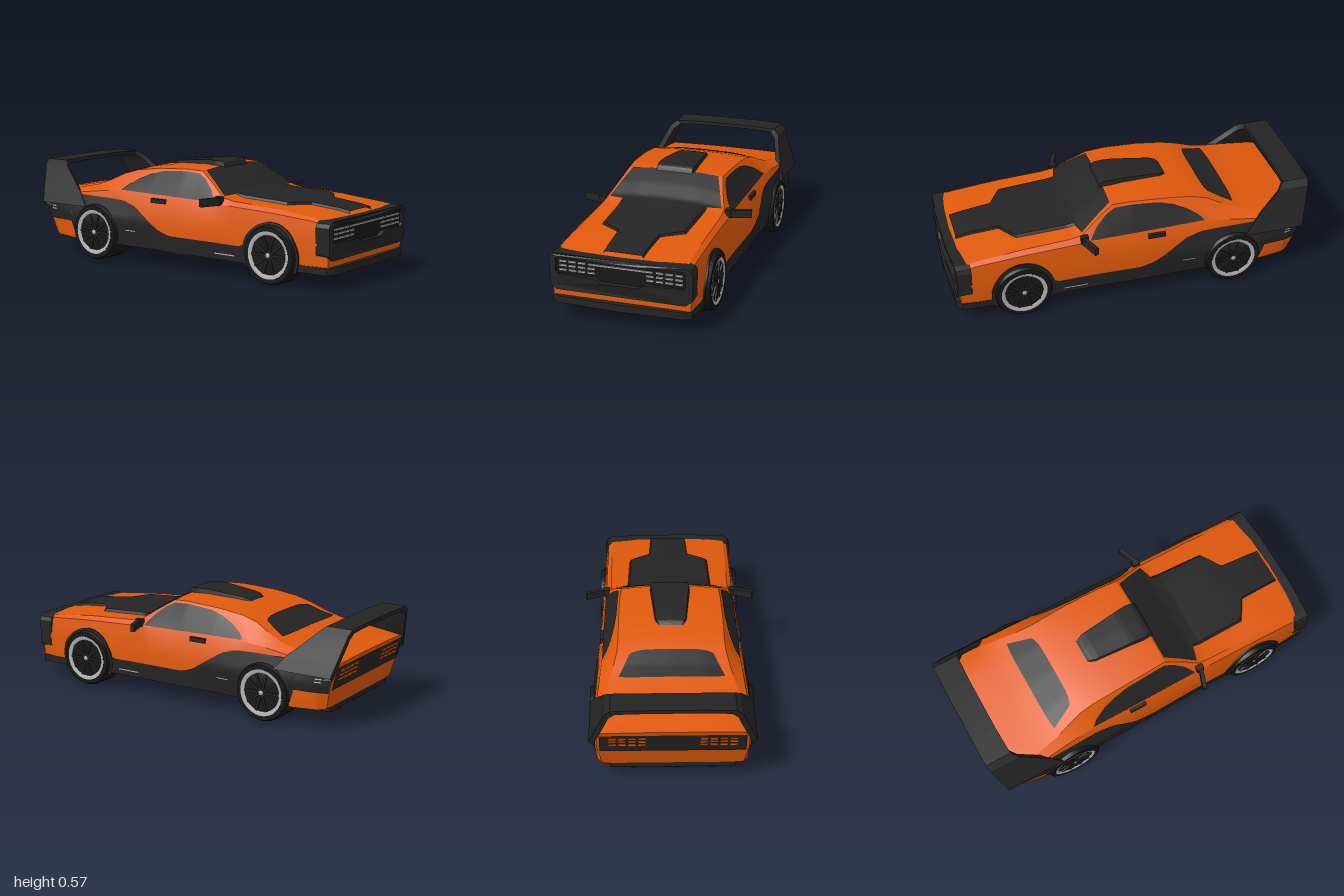
import * as THREE from 'three';
import { toCreasedNormals } from 'three/addons/utils/BufferGeometryUtils.js';

const material = (name, color) => new THREE.MeshStandardMaterial({ name, color, side: THREE.DoubleSide });
const orange = material('orangePaint', 0xe0590c);
const black = material('blackTrim', 0x242424);
const rubber = material('rubber', 0x171717);
const silver = material('silver', 0xb4b2b4);

// Body stations: x, sillY, sillZ, waistZ, shoulderY, shoulderZ, roofEdgeY, roofEdgeZ, centreY
const STATIONS = [
  [-0.95, 0.11, 0.36, 0.385, 0.335, 0.385, 0.35, 0.355, 0.355],
  [-0.85, 0.105, 0.385, 0.405, 0.345, 0.395, 0.365, 0.355, 0.372],
  [-0.72, 0.10, 0.40, 0.415, 0.36, 0.39, 0.385, 0.345, 0.397],
  [-0.60, 0.10, 0.40, 0.42, 0.375, 0.38, 0.41, 0.325, 0.422],
  [-0.52, 0.10, 0.40, 0.418, 0.385, 0.375, 0.44, 0.305, 0.452],
  [-0.43, 0.10, 0.395, 0.413, 0.39, 0.37, 0.482, 0.285, 0.494],
  [-0.34, 0.10, 0.39, 0.408, 0.39, 0.367, 0.507, 0.28, 0.518],
  [-0.20, 0.095, 0.385, 0.402, 0.388, 0.365, 0.525, 0.28, 0.54],
  [0.00, 0.09, 0.385, 0.395, 0.385, 0.362, 0.536, 0.275, 0.55],
  [0.10, 0.09, 0.38, 0.392, 0.384, 0.36, 0.532, 0.268, 0.546],
  [0.20, 0.09, 0.378, 0.388, 0.382, 0.36, 0.47, 0.30, 0.49],
  [0.28, 0.09, 0.375, 0.387, 0.38, 0.36, 0.412, 0.33, 0.437],
  [0.35, 0.09, 0.375, 0.385, 0.377, 0.36, 0.40, 0.333, 0.413],
  [0.60, 0.09, 0.375, 0.385, 0.367, 0.36, 0.388, 0.335, 0.398],
  [0.85, 0.09, 0.37, 0.38, 0.35, 0.36, 0.365, 0.335, 0.374],
  [0.955, 0.10, 0.36, 0.372, 0.335, 0.36, 0.35, 0.34, 0.355],
];

// Linear lookup in rows sorted by their first value
function at(rows, x, col = 1) {
  if (x <= rows[0][0]) return rows[0][col];
  for (let i = 1; i < rows.length; i++) {
    const a = rows[i - 1], b = rows[i];
    if (x <= b[0]) return a[col] + (b[col] - a[col]) * (x - a[0]) / (b[0] - a[0]);
  }
  return rows[rows.length - 1][col];
}

// Half cross-section as [z, y], from sill to centre line
function ring(x) {
  const [sy, sz, wz, hy, hz, ey, ez, cy] = [1, 2, 3, 4, 5, 6, 7, 8].map(c => at(STATIONS, x, c));
  return [[sz, sy], [wz, 0.24], [hz, hy], [ez, ey], [ez * 0.55, ey + (cy - ey) * 0.75], [0, cy]];
}
const sideZ = (x, y) => at(ring(x).slice(0, 4).map(([z, h]) => [h, z]), y);
const topY = (x, z) => at(ring(x).reverse(), Math.abs(z));
// The tail leans forward towards the bottom
const lean = (x, y) => x + Math.min(1, Math.max(0, (-0.85 - x) / 0.1)) * (0.35 - y) * 0.25;

// Grid surface of n by m quads from f(i, j) -> [x, y, z]
function grid(n, m, f, crease = 0.45) {
  const pos = [], index = [];
  for (let i = 0; i <= n; i++) for (let j = 0; j <= m; j++) {
    pos.push(...f(i, j));
    if (i < n && j < m) {
      const a = i * (m + 1) + j, b = a + m + 1;
      index.push(a, a + 1, b, b, a + 1, b + 1);
    }
  }
  const g = new THREE.BufferGeometry();
  g.setAttribute('position', new THREE.Float32BufferAttribute(pos, 3));
  g.setIndex(index);
  return toCreasedNormals(g, crease);
}

export function createModel() {
  const car = new THREE.Group();
  car.name = 'car';
  const add = (name, geometry, mat, parent = car) => {
    const mesh = new THREE.Mesh(geometry, mat);
    mesh.name = name;
    parent.add(mesh);
    return mesh;
  };
  const box = (name, mat, size, p) => {
    const mesh = add(name, new THREE.BoxGeometry(...size), mat);
    mesh.position.set(...p);
    return mesh;
  };

  // Body shell, end caps and floor
  const S = STATIONS.length - 1;
  add('bodyShell', grid(S, 10, (i, j) => {
    const x = STATIONS[i][0], [z, y] = ring(x)[j < 6 ? j : 10 - j];
    return [lean(x, y), y, j < 6 ? z : -z];
  }), orange);
  for (const [name, x] of [['tailFace', -0.95], ['noseFace', 0.955]])
    add(name, grid(5, 1, (i, j) => {
      const [z, y] = ring(x)[i];
      return [lean(x, y), y, j ? z : -z];
    }), orange);
  add('floor', grid(S, 1, (i, j) => {
    const x = STATIONS[i][0], [z, y] = ring(x)[0];
    return [lean(x, y), y, j ? z : -z];
  }), black);

  // Panels that follow the flank between two lines of height
  function sidePanel(name, lo, hi, x0, x1, sign, mat = black, off = 0.006) {
    const n = 64, m = 10;
    add(name, grid(n, m, (i, j) => {
      const x = x0 + (x1 - x0) * i / n, a = at(lo, x), y = a + (at(hi, x) - a) * j / m;
      return [lean(x, y), y, sign * (sideZ(x, y) + off)];
    }), mat);
  }
  const windowTop = [[-0.39, 0.402], [-0.36, 0.43], [-0.3, 0.465], [-0.23, 0.495], [-0.15, 0.515],
    [0, 0.525], [0.09, 0.52], [0.14, 0.495], [0.2, 0.445], [0.24, 0.395]];
  const windowBase = [[-0.39, 0.4], [0.24, 0.388]];
  const stripeTop = [[-0.95, 0.34], [-0.7, 0.355], [-0.45, 0.35], [-0.36, 0.345], [-0.28, 0.32],
    [-0.2, 0.27], [-0.1, 0.205], [-0.03, 0.183], [0.43, 0.178], [0.47, 0.2]];
  const stripeBase = [[-0.95, 0.2], [-0.72, 0.2], [-0.7, 0.1], [0.47, 0.09]];

  for (const s of [1, -1]) {
    sidePanel('sideWindow', windowBase, windowTop, -0.39, 0.24, s);
    sidePanel('flankStripe', stripeBase, stripeTop, -0.95, 0.47, s);
    // Small pale marks on the dark flank
    for (let k = 0; k < 3; k++)
      sidePanel('rearMark', [[0, 0.255 + k * 0.016]], [[0, 0.261 + k * 0.016]], -0.89, -0.845 - k * 0.005, s, silver, 0.01);
    sidePanel('flankMark', [[0, 0.183]], [[0, 0.188]], -0.33, -0.26, s, silver, 0.01);
    sidePanel('sillMark', [[0, 0.121]], [[0, 0.127]], 0.27, 0.4, s, silver, 0.01);
    // Front wheel arch
    add('frontArch', grid(32, 2, (i, j) => {
      const a = Math.PI * (i / 32 * 1.3 - 0.15), r = j ? 0.172 : 0.145;
      const x = 0.62 + r * Math.cos(a), y = 0.15 + r * Math.sin(a);
      return [x, y, s * (sideZ(x, y) + (j < 2 ? 0.008 : 0))];
    }), black);
    box('doorHandle', black, [0.095, 0.024, 0.02], [-0.12, 0.362, s * (sideZ(-0.12, 0.362) + 0.004)]);
    box('wingMirror', black, [0.022, 0.042, 0.12], [0.26, 0.396, s * 0.415]).rotation.y = -s * 0.35;
    box('mirrorFoot', black, [0.04, 0.04, 0.03], [0.275, 0.4, s * 0.355]);
  }

  // Glass on the top of the body
  add('windscreen', grid(24, 16, (i, j) => {
    const s = i / 12 - 1, t = j / 16;
    const x = 0.108 + (0.222 - 0.05 * s * s) * t, z = s * (0.245 + 0.07 * t);
    return [x, topY(x, z) + 0.006, z];
  }), black);
  add('rearWindow', grid(24, 12, (i, j) => {
    const s = i / 12 - 1, t = j / 12, e = s ** 6;
    const x = -0.435 - 0.02 * e - (0.155 - 0.03 * e) * t, z = s * (0.22 + 0.055 * t);
    return [x, topY(x, z) + 0.006, z];
  }), black);

  // Raised panels with a stepped edge
  function raised(name, width, height) {
    const n = 60, m = 14, x0 = width[0][0], x1 = width[width.length - 1][0];
    add(name, grid(n, m, (i, j) => {
      const x = x0 + (x1 - x0) * i / n, k = Math.min(Math.max(j, 1), m - 1);
      const w = at(width, x) * (j === k ? 0.95 : 1), z = w * ((k - 1) / (m - 2) * 2 - 1);
      return [x, topY(x, z) + (j === k ? at(height, x) : -0.002), z];
    }), black);
  }
  raised('hoodPanel', [[0.27, 0.24], [0.62, 0.23], [0.69, 0.115], [0.92, 0.105]],
    [[0.27, 0.004], [0.36, 0.013], [0.92, 0.013]]);
  raised('roofScoop', [[-0.26, 0.065], [-0.22, 0.085], [0.06, 0.11], [0.125, 0.105]],
    [[-0.26, 0], [-0.24, 0.012], [0, 0.024], [0.08, 0.026], [0.115, 0.025], [0.125, 0]]);

  // Nose: bowed frame with a recessed grille and light bars
  const bow = z => -0.02 * (z / 0.37) ** 2;
  const shape = pts => new THREE.Shape(pts.map(p => new THREE.Vector2(...p)));
  const mirrored = half => [...half, ...half.slice().reverse().map(([z, y]) => [-z, y])];
  const frame = shape(mirrored([[0.34, 0.158], [0.375, 0.185], [0.378, 0.325], [0.368, 0.345], [0.34, 0.357], [0.15, 0.358]]));
  frame.holes.push(shape(mirrored([[0.10, 0.225], [0.13, 0.245], [0.33, 0.245], [0.342, 0.26], [0.342, 0.325], [0.325, 0.338], [0.1, 0.338]])));
  const frameGeo = new THREE.ExtrudeGeometry(frame, { depth: 0.1, bevelEnabled: false });
  frameGeo.rotateY(Math.PI / 2).translate(0.89, 0, 0);
  const fp = frameGeo.attributes.position;
  for (let i = 0; i < fp.count; i++) if (fp.getX(i) > 0.95) fp.setX(i, fp.getX(i) + bow(fp.getZ(i)));
  frameGeo.computeVertexNormals();
  add('grilleFrame', frameGeo, black);
  box('grilleBack', rubber, [0.008, 0.125, 0.69], [0.957, 0.281, 0]);
  box('upperLightBar', silver, [0.008, 0.009, 0.34], [0.966, 0.311, 0]);
  for (const s of [1, -1]) for (let row = 0; row < 3; row++) for (let k = 0; k < 4; k++) {
    const y = 0.311 - row * 0.023;
    if (row || k < 3) box('headlightBar', silver, [0.008, 0.01, 0.04], [0.964, y, s * (0.305 - k * 0.05)]);
    box('tailLightBar', orange, [0.008, 0.011, 0.04], [-0.958 + 0.25 * (0.35 - y), y, s * (0.305 - k * 0.05)]);
  }

  // Front splitter
  const splitter = shape([[0.75, -0.378], [0.95, -0.37], [0.975, -0.33], [0.988, 0], [0.975, 0.33], [0.95, 0.37], [0.75, 0.378]]);
  const splitterGeo = new THREE.ExtrudeGeometry(splitter, { depth: 0.038, bevelEnabled: false });
  add('frontSplitter', splitterGeo.rotateX(Math.PI / 2).translate(0, 0.123, 0), black);

  // Tail panel and diffuser
  add('tailPanel', grid(1, 1, (i, j) => {
    const y = i ? 0.335 : 0.215;
    return [-0.956 + 0.25 * (0.35 - y), y, j ? 0.37 : -0.37];
  }), black);
  box('diffuser', black, [0.17, 0.035, 0.64], [-0.805, 0.1, 0]);
  for (const z of [-0.2, -0.03, 0.03, 0.2]) box('diffuserFin', black, [0.16, 0.03, 0.03], [-0.8, 0.085, z]);

  // Hoop spoiler swept over the tail
  const half = [[0.425, 0.29], [0.397, 0.36], [0.36, 0.45], [0.343, 0.497], [0.31, 0.525], [0.15, 0.53]];
  const hoop = mirrored(half);
  const front = [[0.3, -0.61], [0.36, -0.67], [0.53, -0.86]], rear = [[0.29, -0.94], [0.53, -1]];
  add('spoiler', grid(hoop.length - 1, 4, (i, j) => {
    const [z, y] = hoop[i], inner = j === 2 || j === 3;
    const x = at(j === 1 || j === 2 ? rear : front, y);
    return inner ? [x, y - 0.02, z - Math.sign(z) * 0.024] : [x, y, z];
  }), black);

  // Wheels
  const inner = 0.265;
  function wheel(name, x, s, outer) {
    const g = new THREE.Group();
    g.name = name;
    g.position.set(x, 0.155, 0);
    if (s < 0) g.rotation.y = Math.PI;
    car.add(g);
    const lathe = pts => new THREE.LatheGeometry(pts.map(p => new THREE.Vector2(...p)), 48).rotateX(Math.PI / 2);
    add('tyre', toCreasedNormals(lathe([[0, inner], [0.14, inner], [0.155, inner + 0.01], [0.155, outer - 0.015],
      [0.147, outer], [0.124, outer], [0.12, outer - 0.008], [0, outer - 0.008]]), 0.5), rubber, g);
    add('rimRing', lathe([[0.102, outer - 0.005], [0.106, outer + 0.001], [0.124, outer + 0.002]]), silver, g);
    for (let k = 0; k < 10; k++) {
      const a = k * Math.PI / 5;
      const spoke = add('spoke', new THREE.BoxGeometry(0.095, 0.012, 0.01), black, g);
      spoke.position.set(Math.cos(a) * 0.056, Math.sin(a) * 0.056, outer - 0.004);
      spoke.rotation.z = a;
    }
    add('hub', lathe([[0.014, outer - 0.006], [0.012, outer + 0.004], [0, outer + 0.004]]), silver, g);
  }
  for (const s of [1, -1]) {
    wheel('frontWheel', 0.62, s, 0.402);
    wheel('rearWheel', -0.545, s, 0.427);
  }
  return car;
}
